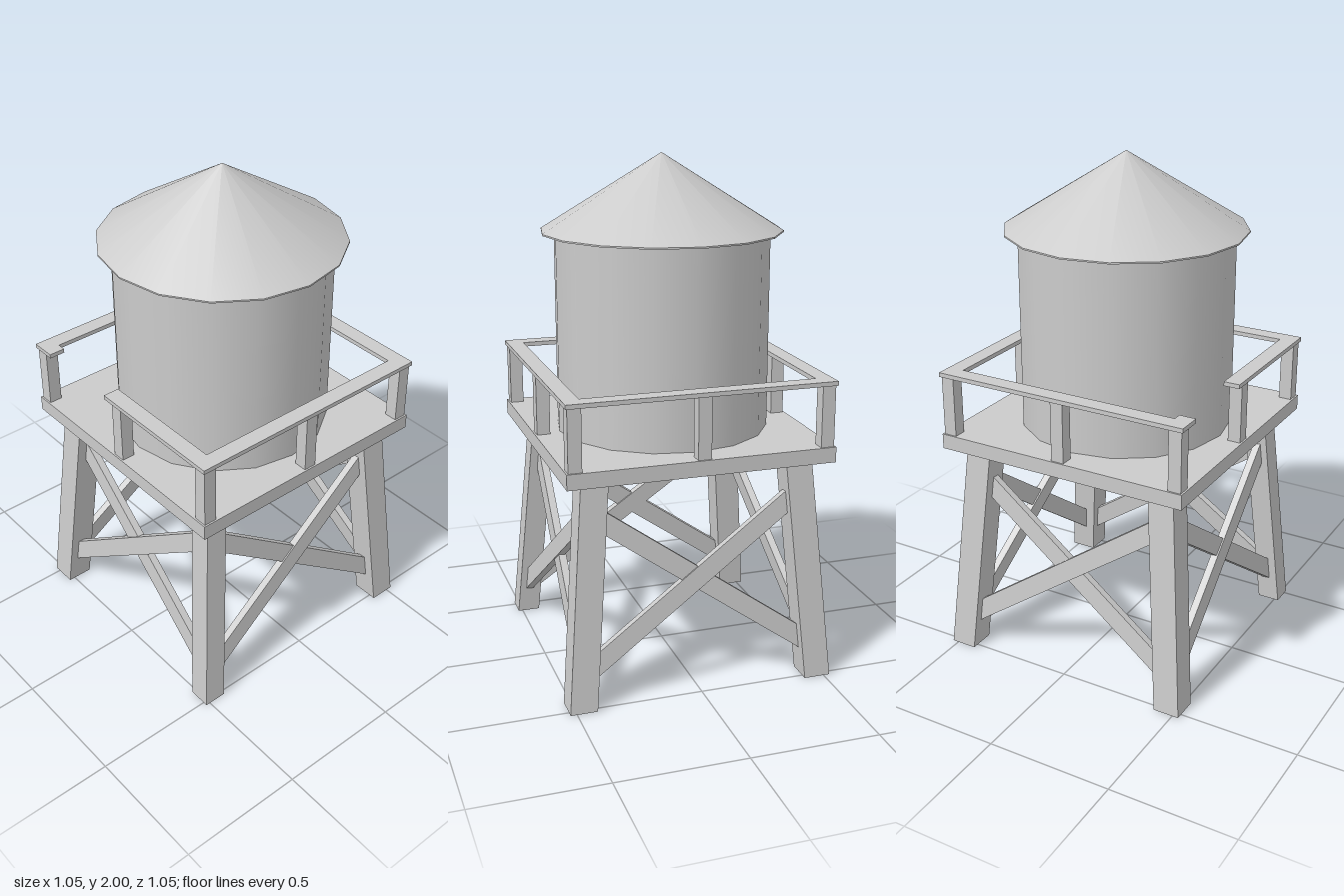
import * as THREE from 'three';

const material = new THREE.MeshStandardMaterial({ color: 0xcccccc });

// Leg and brace slope: distance of a leg axis from the centre at height y
const lean = 0.0824;
const reach = (y) => 0.4725 - lean * y;

function add(parent, name, geometry, x = 0, y = 0, z = 0) {
  const mesh = new THREE.Mesh(geometry, material);
  mesh.name = name;
  mesh.position.set(x, y, z);
  parent.add(mesh);
  return mesh;
}

function box(parent, name, x0, x1, y0, y1, z0, z1) {
  return add(parent, name, new THREE.BoxGeometry(x1 - x0, y1 - y0, z1 - z0),
    (x0 + x1) / 2, (y0 + y1) / 2, (z0 + z1) / 2);
}

// Square leg sheared inwards towards the top
function legGeometry(sx, sz, width, height) {
  const geometry = new THREE.BoxGeometry(width, height, width);
  const p = geometry.attributes.position;
  for (let i = 0; i < p.count; i++) {
    const y = p.getY(i) + height / 2;
    p.setXYZ(i, p.getX(i) + sx * reach(y), y, p.getZ(i) + sz * reach(y));
  }
  geometry.computeVertexNormals();
  return geometry;
}

// Flat bar between two legs, lying in the leaning plane of its side
function addBrace(parent, dir) {
  const low = 0.12, high = 0.742;
  const a = new THREE.Vector3(-dir * reach(low), low, reach(low));
  const b = new THREE.Vector3(dir * reach(high), high, reach(high));
  const along = b.clone().sub(a);
  const length = along.length();
  along.normalize();
  const out = new THREE.Vector3(0, lean, 1).normalize();
  const across = out.clone().cross(along);
  const mesh = add(parent, 'brace', new THREE.BoxGeometry(length, 0.075, 0.03));
  mesh.quaternion.setFromRotationMatrix(new THREE.Matrix4().makeBasis(along, across, out));
  mesh.position.copy(a.add(b).multiplyScalar(0.5)).addScaledVector(out, dir * 0.003);
}

export function createModel() {
  const model = new THREE.Group();
  model.name = 'waterTower';

  // Legs, one slightly slimmer than the rest
  const legs = new THREE.Group();
  legs.name = 'legs';
  for (const sx of [-1, 1]) for (const sz of [-1, 1]) {
    const width = sx < 0 && sz > 0 ? 0.09 : 0.105;
    add(legs, 'leg', legGeometry(sx, sz, width, 0.885));
  }
  model.add(legs);

  // Crossed braces on all four sides
  for (let i = 0; i < 4; i++) {
    const side = new THREE.Group();
    side.name = 'crossBracing';
    addBrace(side, 1);
    addBrace(side, -1);
    side.rotation.y = i * Math.PI / 2;
    model.add(side);
  }

  // Platform
  const edge = 0.52, inner = 0.455;
  box(model, 'platform', -edge, edge, 0.88, 0.94, -edge, edge);

  // Railing posts at corners and mid-sides
  const railing = new THREE.Group();
  railing.name = 'railing';
  const railBottom = 1.178, railTop = 1.195, c = 0.487, h = 0.026;
  for (const x of [-c, 0, c]) for (const z of [-c, 0, c]) {
    if (x === 0 && z === 0) continue;
    box(railing, 'railPost', x - h, x + h, 0.94, railBottom, z - h, z + h);
  }

  // Handrails, with an entry gap on the -x side
  box(railing, 'frontRail', -edge, edge, railBottom, railTop, inner, edge);
  box(railing, 'backRail', -edge, edge, railBottom, railTop, -edge, -inner);
  box(railing, 'sideRail', inner, edge, railBottom, railTop, -inner, inner);
  box(railing, 'gapSideRail', -edge, -inner, railBottom, railTop, -0.065, inner);
  box(railing, 'gapRailStub', -edge, -inner, railBottom, railTop, -inner, -0.42);
  model.add(railing);

  // Tank and conical roof with a thin rim
  add(model, 'tank', new THREE.CylinderGeometry(0.417, 0.417, 0.77, 16), 0, 1.325, 0);
  add(model, 'roofRim', new THREE.CylinderGeometry(0.467, 0.467, 0.006, 16), 0, 1.707, 0);
  add(model, 'roof', new THREE.ConeGeometry(0.467, 0.29, 16, 1, true), 0, 1.855, 0);

  return model;
}
